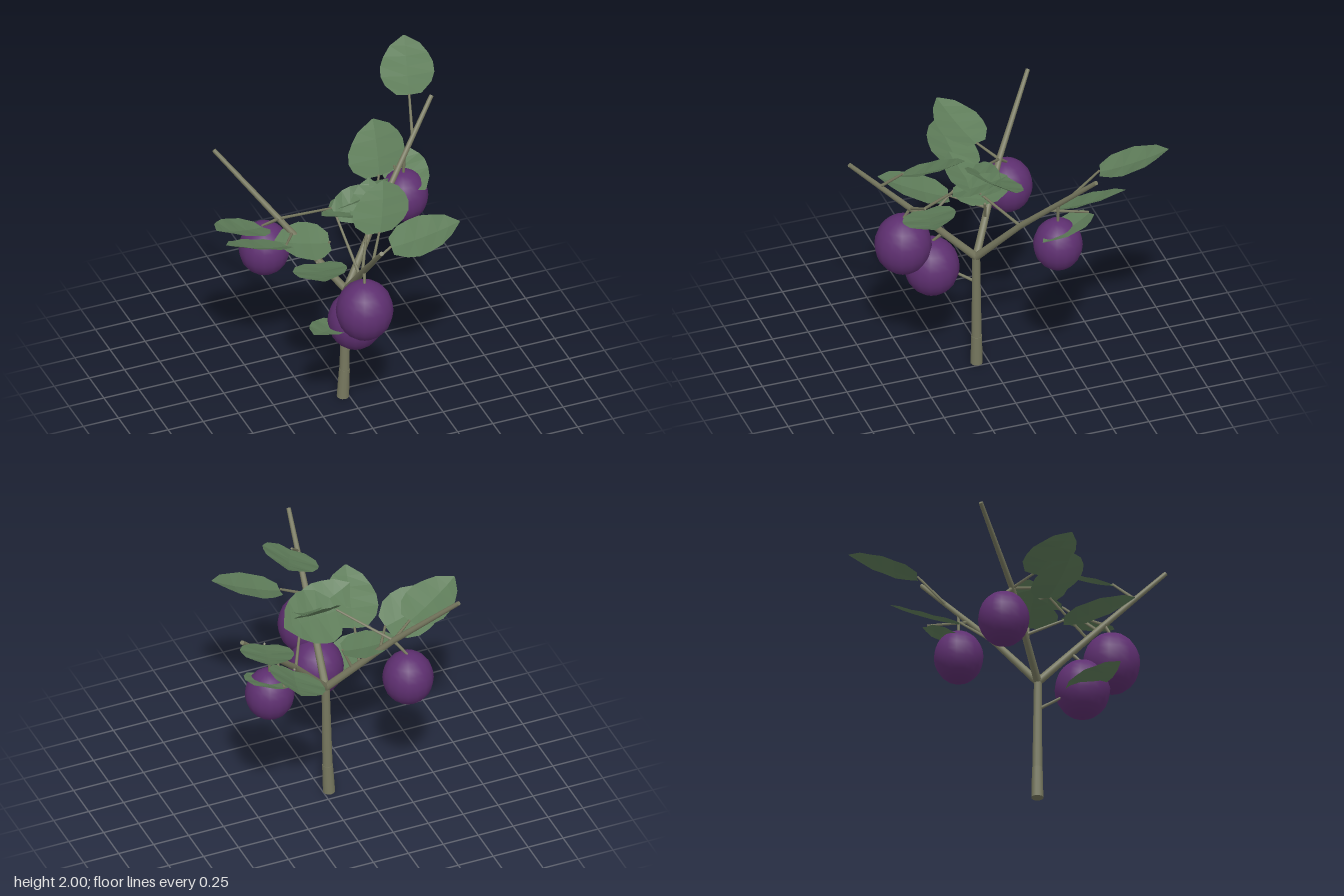
import * as THREE from 'three';

const V = (x, y, z) => new THREE.Vector3(x, y, z);
const UP = V(0, 1, 0);
const bark = new THREE.MeshStandardMaterial({ color: 0x77785f });
const leafMat = new THREE.MeshStandardMaterial({ color: 0x5f7d5a, flatShading: true, side: THREE.DoubleSide });
const fruitMat = new THREE.MeshStandardMaterial({ color: 0x5e2f70 });

// Tapered round limb between two points
function limb(name, from, to, r0, r1, sides = 10) {
  const dir = to.clone().sub(from);
  const mesh = new THREE.Mesh(new THREE.CylinderGeometry(r1, r0, dir.length(), sides), bark);
  mesh.position.copy(from).lerp(to, 0.5);
  mesh.quaternion.setFromUnitVectors(UP, dir.normalize());
  mesh.name = name;
  return mesh;
}

// Point on a two-section path: 0 to 1 on the first section, 1 to 2 on the second
function along([a, b, c], t) {
  return t < 1 ? a.clone().lerp(b, t) : b.clone().lerp(c, t - 1);
}

// Half width of the leaf blade at u, from a blunt base to a pointed tip
const bladeWidth = (u) => 0.03 + 0.97 * Math.pow(Math.sin(Math.PI * Math.pow(0.05 + 0.95 * u, 0.8)), 0.65);

// Faceted leaf folded along its midrib, rolled about the line from base to tip
function leaf(base, tip, width, roll) {
  const dir = tip.clone().sub(base).normalize();
  const across = dir.clone().cross(UP).normalize().applyAxisAngle(dir, -roll);
  const normal = across.clone().cross(dir);
  const rows = 6, pos = [], index = [];
  for (let i = 0; i <= rows; i++) {
    const w = width * bladeWidth(i / rows);
    for (const side of [-1, 0, 1]) {
      const p = base.clone().lerp(tip, i / rows).addScaledVector(across, side * w);
      p.addScaledVector(normal, side === 0 ? -0.12 * w : 0.006 * (i % 2));
      pos.push(...p.toArray());
    }
    for (let c = i * 3; i > 0 && c < i * 3 + 2; c++) {
      index.push(c - 3, c - 2, c, c - 2, c + 1, c);
    }
  }
  const g = new THREE.BufferGeometry();
  g.setAttribute('position', new THREE.Float32BufferAttribute(pos, 3));
  g.setIndex(index);
  g.computeVertexNormals();
  const mesh = new THREE.Mesh(g, leafMat);
  mesh.name = 'leaf';
  return mesh;
}

export function createModel() {
  const plant = new THREE.Group();
  plant.name = 'fruitingPlant';

  // Trunk with a thicker foot, and three branches from its fork
  const fork = V(-0.02, 0.85, 0.09);
  const trunk = [V(-0.04, 0, 0.08), V(-0.03, 0.22, 0.083), fork];
  const front = [fork, V(-0.075, 1.3, 0.53), V(-0.12, 1.71, 0.94)];
  const right = [fork, V(-0.38, 1.33, -0.2), V(-0.71, 1.76, -0.52)];
  const left = [fork, V(0.28, 1.24, -0.11), V(0.81, 1.84, -0.45)];
  plant.add(limb('trunkFoot', trunk[0], trunk[1], 0.041, 0.036, 12));
  plant.add(limb('trunk', trunk[1], fork, 0.034, 0.027, 12));
  for (const path of [front, right, left]) {
    plant.add(limb('lowerBranch', path[0], path[1], 0.027, 0.021));
    plant.add(limb('upperBranch', path[1], path[2], 0.021, 0.015));
  }

  // Fruit hanging on a stalk from a point of its branch
  function addFruit(branch, t, center, r) {
    const mesh = new THREE.Mesh(new THREE.SphereGeometry(r, 16, 12), fruitMat);
    mesh.name = 'fruit';
    mesh.position.copy(center);
    mesh.scale.y = 1.11;
    const top = center.clone().addScaledVector(UP, r * 1.05);
    plant.add(mesh, limb('fruitStalk', along(branch, t), top, 0.012, 0.009, 6));
  }
  addFruit(right, 1, V(-0.45, 1.065, -0.28), 0.17);
  addFruit(front, 1, V(-0.09, 1.02, 0.575), 0.19);
  addFruit(front, 0.5, V(-0.075, 0.81, 0.38), 0.184);
  addFruit(left, 1.5, V(0.54, 1.225, -0.28), 0.164);

  // Leaf on a stalk from a point of its branch
  function addLeaf(branch, t, base, tip, width, roll) {
    plant.add(leaf(base, tip, width, roll), limb('leafStalk', along(branch, t), base, 0.011, 0.008, 6));
  }
  // Leaves of the left branch
  addLeaf(left, 1.65, V(0.68, 1.84, -0.52), V(0.82, 2, -0.95), 0.18, 0.1);
  addLeaf(left, 1, V(0.38, 1.4, -0.32), V(0.52, 1.53, -0.76), 0.2, 0.4);
  addLeaf(left, 1.36, V(0.53, 1.42, -0.5), V(0.64, 1.33, -0.14), 0.15, -0.28);
  addLeaf(left, 1, V(0.14, 1.46, 0.12), V(-0.24, 1.57, 0.2), 0.16, -0.3);
  // Leaves of the right branch
  addLeaf(right, 1, V(-0.54, 1.38, -0.1), V(-0.92, 1.53, 0.04), 0.175, -0.1);
  addLeaf(right, 0.8, V(-0.42, 1.28, 0.03), V(-0.86, 1.41, 0.06), 0.19, -0.35);
  addLeaf(right, 0.4, V(-0.1, 1.2, 0), V(-0.46, 1.25, -0.08), 0.185, 0.16);
  addLeaf(right, 1, V(-0.08, 1.5, 0.05), V(0.34, 1.55, -0.06), 0.21, 0.5);
  addLeaf(right, 0.5, V(-0.27, 1.2, 0.19), V(-0.4, 1.37, 0.64), 0.18, -0.05);
  // Leaves of the front branch
  addLeaf(front, 0.75, V(-0.1, 1.48, 0.1), V(0.26, 1.54, 0.02), 0.12, -0.72);
  addLeaf(front, 1.5, V(0, 1.64, 0.61), V(0.18, 1.77, 0.24), 0.2, 0.35);
  addLeaf(front, 1, V(0.13, 1.42, 0.5), V(0.58, 1.56, 0.59), 0.18, -0.16);
  addLeaf(front, 0.9, V(0.05, 1.45, 0.28), V(0.2, 1.6, -0.05), 0.12, 0);
  // Low leaf on the trunk
  addLeaf(trunk, 1.68, V(-0.12, 0.75, 0.28), V(-0.43, 0.88, 0.53), 0.13, 0);
  return plant;
}
